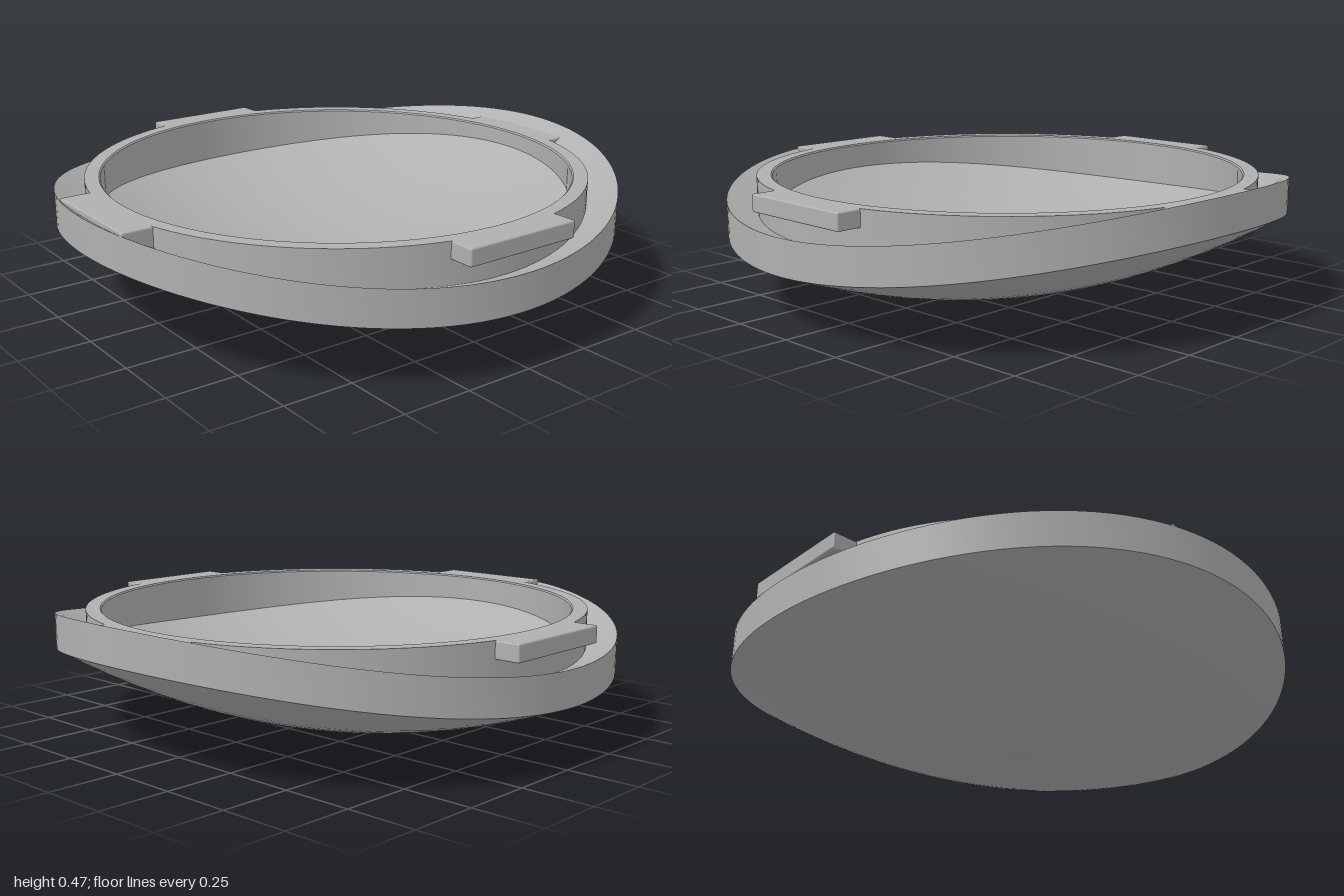
import * as THREE from 'three';
import { toCreasedNormals } from 'three/addons/utils/BufferGeometryUtils.js';
import { RoundedBoxGeometry } from 'three/addons/geometries/RoundedBoxGeometry.js';

const PLATE = 0.125; // thickness of the curved plate
const TOP = 0.43; // flat top of the mounting ring

// Saddle-free dish curve: steeper front to back than side to side
const dish = (x, z) => 0.2 * x * x + 0.32 * z * z - 0.02 * z;

// Lathe a profile, then shift each vertex by a rule
function bentLathe(profile, segments, rule) {
  const geo = new THREE.LatheGeometry(profile.map(([r, y]) => new THREE.Vector2(r, y)), segments);
  const p = geo.attributes.position;
  for (let i = 0; i < p.count; i++) p.setY(i, rule(p.getX(i), p.getY(i), p.getZ(i)));
  return toCreasedNormals(geo, 0.6);
}

export function createModel() {
  const group = new THREE.Group();
  const grey = new THREE.MeshStandardMaterial({ color: 0xb0b0b0 });
  grey.name = 'grey';

  const add = (name, geo) => {
    const mesh = new THREE.Mesh(geo, grey);
    mesh.name = name;
    group.add(mesh);
    return mesh;
  };

  // Curved round plate with a straight vertical rim
  const steps = 16;
  const profile = [];
  for (let i = 0; i <= steps; i++) profile.push([i / steps, 0]);
  for (let i = steps; i >= 0; i--) profile.push([i / steps, PLATE]);
  add('dishPlate', bentLathe(profile, 128, (x, y, z) => y + dish(x, z)));

  // Ring with a flat top, its foot sunk into the plate
  const ring = [[0.84, 0], [0.895, 0], [0.895, TOP], [0.845, TOP], [0.84, TOP - 0.005], [0.84, 0]];
  add('mountingRing', bentLathe(ring, 128, (x, y, z) => (y > 0 ? y : dish(x, z) + 0.06)));

  // Four tabs flush with the ring top; the front and back ones merge into the plate
  const tabs = [
    ['leftTab', 0, 0.955, 0.06],
    ['backTab', 1, 0.955, 0.08],
    ['rightTab', 2, 0.955, 0.06],
    ['frontTab', 3, 0.975, 0.08],
  ];
  for (const [name, turn, reach, height] of tabs) {
    const inner = 0.845;
    const geo = new RoundedBoxGeometry(reach - inner, height, 0.44, 2, 0.006);
    geo.translate((reach + inner) / 2, TOP - height / 2, 0);
    geo.rotateY((turn * Math.PI) / 2);
    add(name, geo);
  }
  return group;
}
